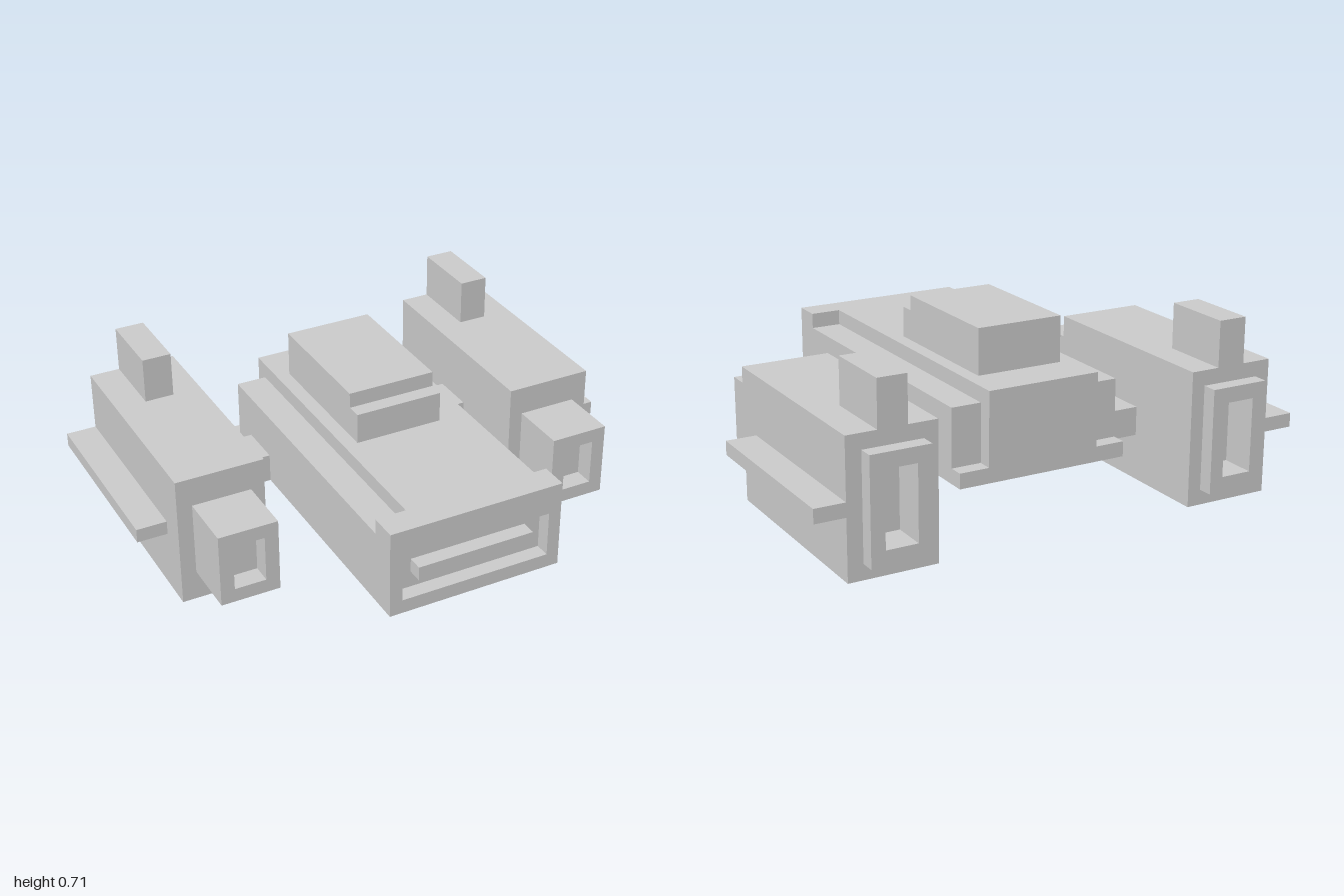
import * as THREE from 'three';

const material = new THREE.MeshStandardMaterial({ color: 0xcccccc, flatShading: true });

function add(group, name, geometry) {
  const mesh = new THREE.Mesh(geometry, material);
  mesh.name = name;
  group.add(mesh);
  return mesh;
}

// Box given by its extents on each axis
function box(group, name, [x0, x1], [y0, y1], [z0, z1]) {
  const geometry = new THREE.BoxGeometry(x1 - x0, y1 - y0, z1 - z0);
  geometry.translate((x0 + x1) / 2, (y0 + y1) / 2, (z0 + z1) / 2);
  return add(group, name, geometry);
}

function rectangle(PathType, [x0, x1], [y0, y1]) {
  return new PathType([[x0, y0], [x1, y0], [x1, y1], [x0, y1]].map(([x, y]) => new THREE.Vector2(x, y)));
}

// Rectangular frame along z with a rectangular opening
function frame(group, name, x, y, holeX, holeY, [z0, z1]) {
  const shape = rectangle(THREE.Shape, x, y);
  shape.holes.push(rectangle(THREE.Path, holeX, holeY));
  const geometry = new THREE.ExtrudeGeometry(shape, { depth: z1 - z0, bevelEnabled: false });
  geometry.translate(0, 0, z0);
  return add(group, name, geometry);
}

function createBody() {
  const body = new THREE.Group();
  body.name = 'body';
  box(body, 'bodyCore', [-0.23, 0.23], [0.18, 0.53], [-0.56, 0.73]);

  // Side slabs, with a groove along the top that turns down the rear
  const profile = [[0.73, 0.18], [0.73, 0.53], [0.68, 0.53], [0.68, 0.47],
    [-0.5, 0.47], [-0.5, 0.24], [-0.56, 0.24], [-0.56, 0.18]];
  const slab = new THREE.Shape(profile.map(([z, y]) => new THREE.Vector2(-z, y)));
  for (const x of [-0.35, 0.23]) {
    const geometry = new THREE.ExtrudeGeometry(slab, { depth: 0.12, bevelEnabled: false });
    geometry.rotateY(Math.PI / 2);
    geometry.translate(x, 0, 0);
    add(body, 'sideSlab', geometry);
  }

  // Recessed nose with a cross bar
  frame(body, 'noseFrame', [-0.35, 0.35], [0.18, 0.53], [-0.3, 0.3], [0.235, 0.415], [0.73, 0.79]);
  box(body, 'noseBar', [-0.235, 0.235], [0.3, 0.355], [0.73, 0.79]);

  // Stepped cabin on the roof
  box(body, 'cabin', [-0.175, 0.175], [0.53, 0.71], [-0.385, 0.145]);
  box(body, 'cabinStep', [-0.175, 0.175], [0.53, 0.65], [0.145, 0.205]);
  return body;
}

function createPod(side) {
  const pod = new THREE.Group();
  pod.name = side > 0 ? 'leftPod' : 'rightPod';
  const span = (a, b) => (side > 0 ? [a, b] : [-b, -a]);
  const outer = span(0.53, 0.88);
  const port = span(0.585, 0.82);
  const hole = span(0.64, 0.765);

  // Housing with the exhaust sunk into its rear
  box(pod, 'housing', outer, [0, 0.53], [-0.655, 0.145]);
  frame(pod, 'housingRear', outer, [0, 0.53], hole, [0.12, 0.41], [-0.735, -0.655]);
  frame(pod, 'exhaustFrame', port, [0.06, 0.47], hole, [0.12, 0.41], [-0.795, -0.735]);

  // Front intake
  box(pod, 'intake', port, [0.12, 0.415], [0.145, 0.3]);
  frame(pod, 'intakeFrame', port, [0.12, 0.415], hole, [0.175, 0.36], [0.3, 0.38]);

  // Fins and the strut to the body
  box(pod, 'topFin', span(0.645, 0.76), [0.53, 0.71], [-0.735, -0.445]);
  box(pod, 'sideFin', span(0.88, 1), [0.24, 0.295], [-0.735, 0.03]);
  box(pod, 'strut', span(0.35, 0.53), [0.18, 0.295], [-0.385, -0.21]);
  return pod;
}

export function createModel() {
  const model = new THREE.Group();
  model.name = 'vehicle';
  model.add(createBody(), createPod(1), createPod(-1));
  return model;
}
